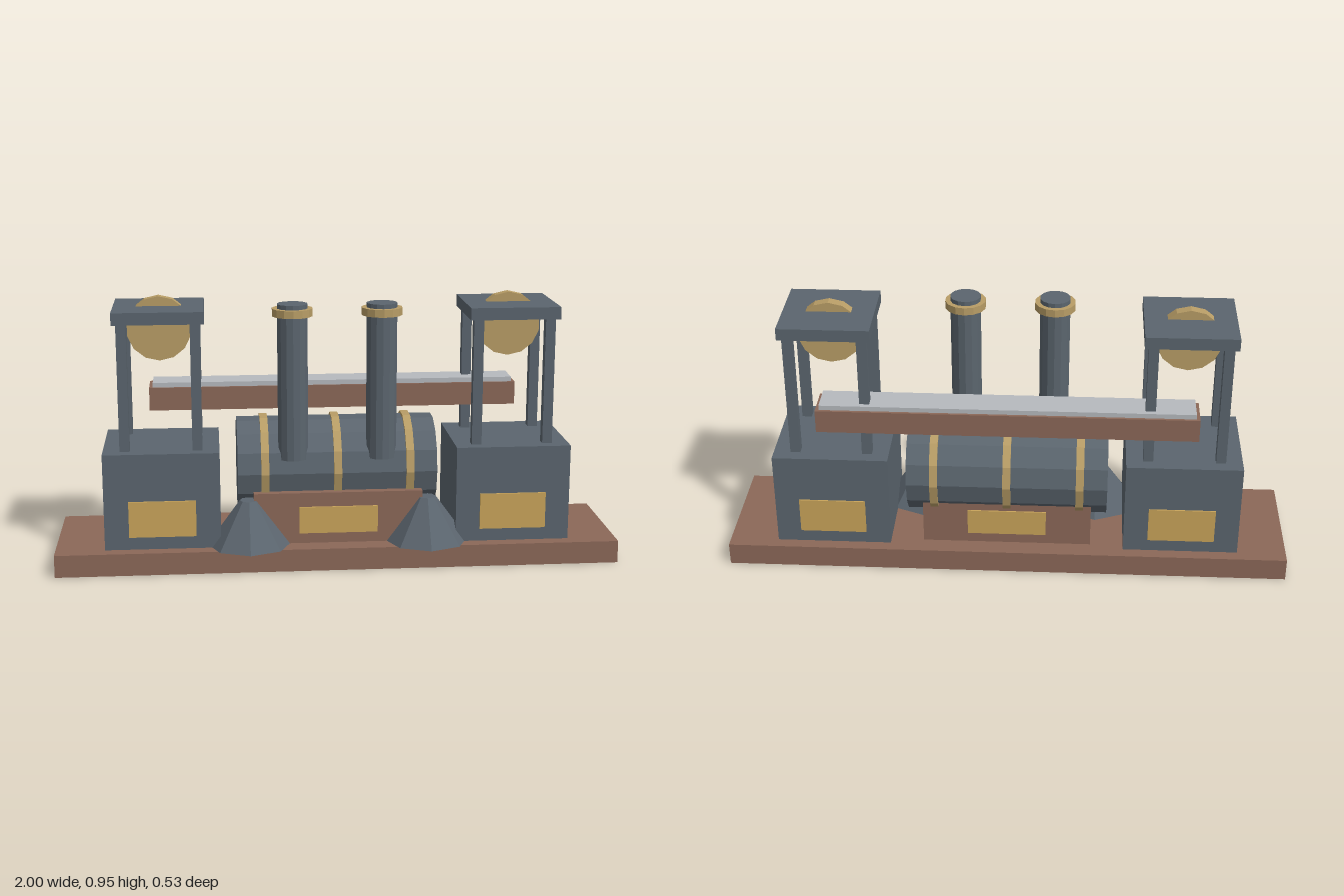
import * as THREE from 'three';

const mat = (name, color) => {
  const m = new THREE.MeshStandardMaterial({ color, flatShading: true });
  m.name = name;
  return m;
};

export function createModel() {
  const slate = mat('slate grey', 0x5b656e);
  const brown = mat('red brown', 0x8b6858);
  const brass = mat('brass', 0xb89d66);
  const gold = mat('plate gold', 0xc9a45a);
  const silver = mat('silver', 0xb6babe);
  const model = new THREE.Group();
  model.name = 'doubleTowerEngine';

  const add = (name, geometry, material, x, y, z, parent = model) => {
    const mesh = new THREE.Mesh(geometry, material);
    mesh.name = name;
    mesh.position.set(x, y, z);
    parent.add(mesh);
    return mesh;
  };
  // box given by its limits on each axis
  const box = (name, material, x0, x1, y0, y1, z0, z1, parent) =>
    add(name, new THREE.BoxGeometry(x1 - x0, y1 - y0, z1 - z0), material,
      (x0 + x1) / 2, (y0 + y1) / 2, (z0 + z1) / 2, parent);
  const cyl = (r, h, n = 14, rTop = r) => new THREE.CylinderGeometry(rTop, r, h, n);

  // base and boiler cradle, with a plate front and back
  box('base', brown, -1, 1, 0, 0.08, -0.263, 0.203);
  box('cradle', brown, -0.3, 0.3, 0.08, 0.265, -0.195, 0.13);
  box('cradlePlateFront', gold, -0.14, 0.14, 0.118, 0.214, 0.13, 0.137);
  box('cradlePlateBack', gold, -0.14, 0.14, 0.118, 0.214, -0.2, -0.195);

  // boiler lying along x, with three bands
  const boilerY = 0.331, boilerZ = -0.0555;
  add('boiler', cyl(0.17, 0.71).rotateZ(Math.PI / 2), slate, 0, boilerY, boilerZ);
  for (const x of [-0.258, 0, 0.258]) {
    add('boilerBand', cyl(0.18, 0.028).rotateZ(Math.PI / 2), brass, x, boilerY, boilerZ);
  }

  // long beam with a thin metal rail on top
  box('beam', brown, -0.665, 0.665, 0.527, 0.61, -0.203, -0.078);
  box('beamRail', silver, -0.652, 0.652, 0.61, 0.627, -0.193, -0.085);

  for (const s of [-1, 1]) {
    // chimney with collar
    add('chimney', cyl(0.054, 0.554), slate, s * 0.157, 0.657, 0.071);
    add('chimneyCollar', cyl(0.072, 0.027), brass, s * 0.157, 0.905, 0.071);
    // flared funnel
    add('funnel', cyl(0.15, 0.16, 8, 0.033), slate, s * 0.317, 0.16, 0.113);

    // tower: cabin, plates, posts, roof and wheel
    const tower = new THREE.Group();
    tower.name = s > 0 ? 'leftTower' : 'rightTower';
    tower.position.x = s * 0.622;
    model.add(tower);
    box('cabin', slate, -0.204, 0.204, 0.08, 0.425, -0.22, 0.155, tower);
    box('cabinPlateFront', gold, -0.118, 0.118, 0.126, 0.255, 0.155, 0.162, tower);
    box('cabinPlateBack', gold, -0.118, 0.118, 0.126, 0.255, -0.225, -0.22, tower);
    for (const px of [-0.127, 0.127]) {
      for (const pz of [-0.1575, 0.0955]) {
        box('post', slate, px - 0.0175, px + 0.0175, 0.425, 0.875, pz - 0.0175, pz + 0.0175, tower);
      }
    }
    box('roof', slate, -0.159, 0.159, 0.875, 0.918, -0.19, 0.128, tower);
    add('wheel', cyl(0.1145, 0.037).rotateX(Math.PI / 2), brass, 0, 0.838, -0.031, tower);
  }
  return model;
}
